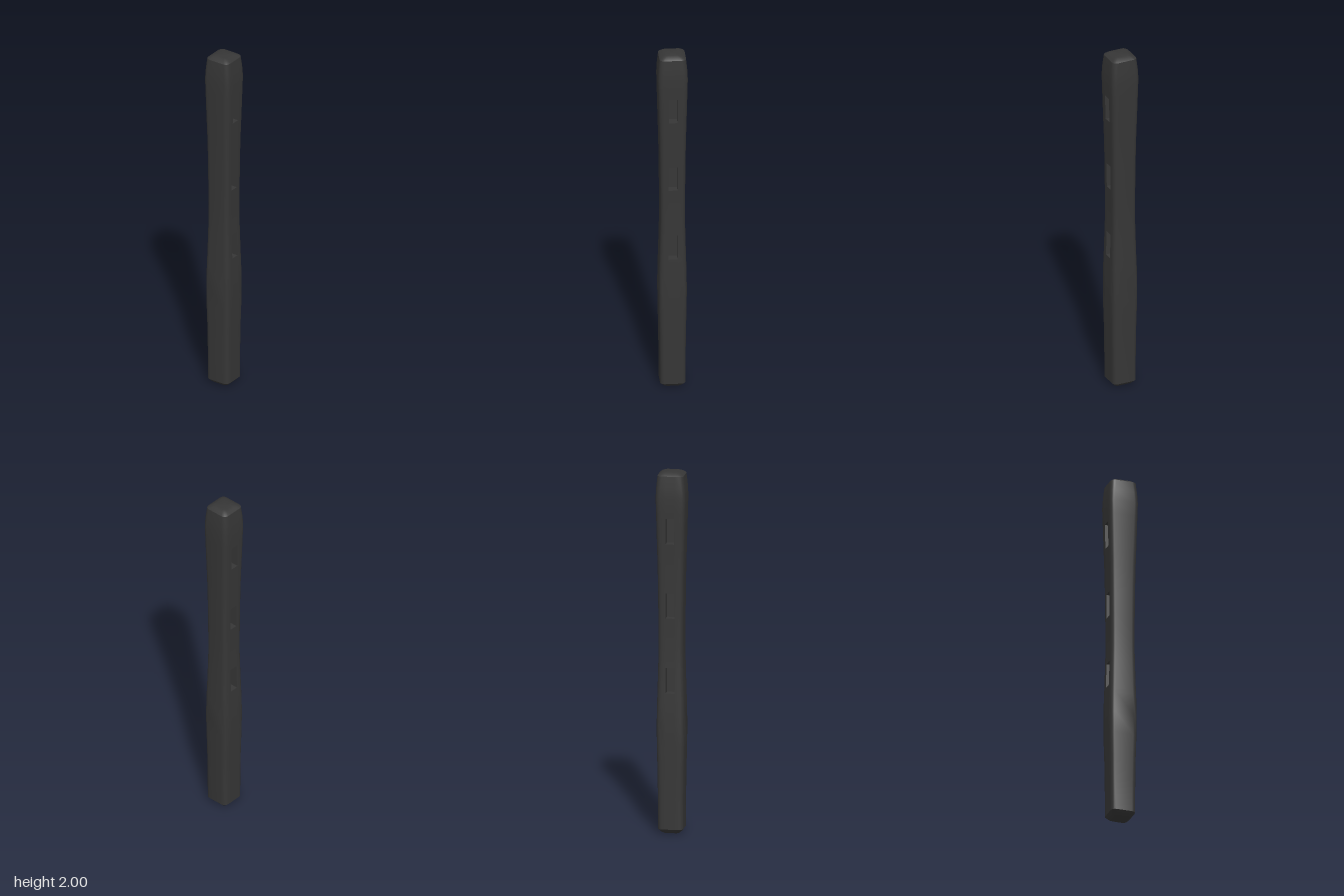
import * as THREE from 'three';
import { toCreasedNormals } from 'three/addons/utils/BufferGeometryUtils.js';

// Half width of the square bar at each height: [y, half width]
const PROFILE = [
  [0, 0.04], [0.007, 0.052], [0.025, 0.069], [0.2, 0.07], [0.35, 0.072], [0.48, 0.075],
  [0.6, 0.076], [0.72, 0.074], [0.85, 0.07], [1.0, 0.067], [1.1, 0.067], [1.25, 0.068],
  [1.4, 0.07], [1.5, 0.072], [1.65, 0.076], [1.78, 0.079], [1.86, 0.081], [1.92, 0.078],
  [1.982, 0.072], [1.993, 0.058], [2, 0.04],
];
const SLOTS = [[0.78, 0.922], [1.195, 1.335], [1.607, 1.75]];
const SLOT_HALF = 0.024, SLOT_FLOOR = 0.024, CORNER_STEPS = 4;

function halfWidth(y) {
  const i = Math.max(1, PROFILE.findIndex((p) => p[0] >= y));
  const [y0, w0] = PROFILE[i - 1], [y1, w1] = PROFILE[i];
  return w0 + ((w1 - w0) * (y - y0)) / (y1 - y0);
}

// Rounded square loop; the slot edges are points on the two x faces
function section(y) {
  const h = halfWidth(y), r = Math.min(0.026, h * 0.36), pts = [];
  const add = (x, z) => pts.push(new THREE.Vector3(x, y, z));
  const s = Math.min(SLOT_HALF, (h - r) * 0.9);
  const corner = (sx, sz, start) => {
    for (let k = 0; k <= CORNER_STEPS; k++) {
      const a = start + (k / CORNER_STEPS) * Math.PI / 2;
      add(sx * (h - r) + r * Math.cos(a), sz * (h - r) + r * Math.sin(a));
    }
  };
  add(h, -s);
  add(h, s);
  corner(1, 1, 0);
  corner(-1, 1, Math.PI / 2);
  add(-h, s);
  add(-h, -s);
  corner(-1, -1, Math.PI);
  corner(1, -1, Math.PI * 1.5);
  return pts;
}

function toGeometry(points) {
  return new THREE.BufferGeometry().setFromPoints(points);
}

function quad(out, a, b, c, d) {
  out.push(a, b, c, a, c, d);
}

export function createModel() {
  const group = new THREE.Group();
  group.name = 'bar';
  const material = new THREE.MeshStandardMaterial({ color: 0x363636 });

  // Rows at the profile heights, with none inside a slot
  const rows = PROFILE.map((p) => p[0])
    .filter((y) => !SLOTS.some(([a, b]) => y >= a && y <= b))
    .concat(SLOTS.flat())
    .sort((a, b) => a - b);
  const loops = rows.map(section);
  const n = loops[0].length;
  const body = [];

  for (let j = 0; j < rows.length - 1; j++) {
    const slot = SLOTS.findIndex(([a]) => a === rows[j]);
    for (let i = 0; i < n; i++) {
      const k = (i + 1) % n;
      const rim = [loops[j][i], loops[j + 1][i], loops[j + 1][k], loops[j][k]];
      if (slot < 0 || i % (n / 2) !== 0) {
        quad(body, ...rim);
        continue;
      }
      // Recessed slot: a floor and four walls behind the opening
      const inner = rim.map((p) => new THREE.Vector3(Math.sign(p.x) * SLOT_FLOOR, p.y, p.z));
      const pocket = [];
      quad(pocket, ...inner);
      rim.forEach((p, e) => {
        const f = (e + 1) % 4;
        quad(pocket, p, rim[f], inner[f], inner[e]);
      });
      const geometry = toGeometry(pocket);
      geometry.computeVertexNormals();
      const mesh = new THREE.Mesh(geometry, material);
      mesh.name = (i === 0 ? 'leftSlot' : 'rightSlot') + (slot + 1);
      group.add(mesh);
    }
  }

  // End caps
  const top = loops[loops.length - 1], bottom = loops[0];
  const topCentre = new THREE.Vector3(0, 2, 0), bottomCentre = new THREE.Vector3(0, 0, 0);
  for (let i = 0; i < n; i++) {
    const k = (i + 1) % n;
    body.push(topCentre, top[k], top[i], bottomCentre, bottom[i], bottom[k]);
  }

  const bodyMesh = new THREE.Mesh(toCreasedNormals(toGeometry(body), 0.6), material);
  bodyMesh.name = 'body';
  group.add(bodyMesh);
  return group;
}
